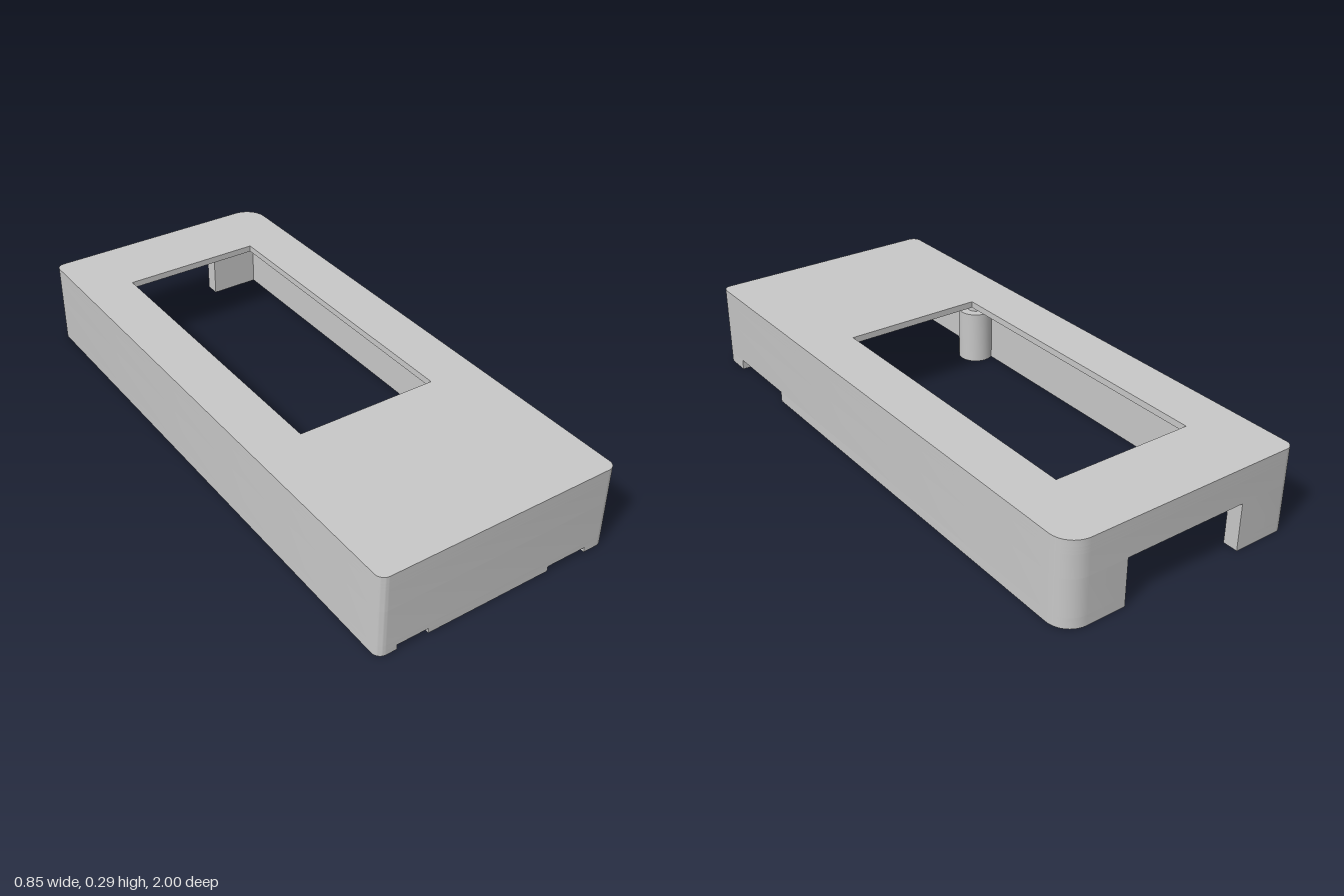
import * as THREE from 'three';
import { toCreasedNormals } from 'three/addons/utils/BufferGeometryUtils.js';

// Outline from [x, z, radius] corners; a radius rounds that corner.
function outline(corners, Type = THREE.Shape) {
  const n = corners.length, pts = [];
  corners.forEach(([x, z, r = 0], i) => {
    const p = new THREE.Vector2(x, -z);
    if (!r) { pts.push(p); return; }
    const dir = ([qx, qz]) => new THREE.Vector2(qx, -qz).sub(p).normalize();
    const a = dir(corners[(i + n - 1) % n]), b = dir(corners[(i + 1) % n]);
    for (let k = 0; k <= 10; k++) {
      const t = (k / 10) * Math.PI / 2;
      pts.push(p.clone()
        .addScaledVector(a, r * (1 - Math.sin(t)))
        .addScaledVector(b, r * (1 - Math.cos(t))));
    }
  });
  return new Type(pts);
}

// Openings run opposite to the outer outlines so their walls face inward.
const opening = (x, z0, z1) => [[-x, z0], [-x, z1], [x, z1], [x, z0]];

export function createModel() {
  const model = new THREE.Group();
  const grey = new THREE.MeshStandardMaterial({ color: 0xc8c8c8 });
  grey.name = 'grey plastic';

  // Horizontal slab between two heights, with an optional opening.
  function slab(name, corners, y0, y1, hole) {
    const shape = outline(corners);
    if (hole) shape.holes.push(outline(hole, THREE.Path));
    const geo = new THREE.ExtrudeGeometry(shape, { depth: y1 - y0, bevelEnabled: false });
    geo.rotateX(-Math.PI / 2).translate(0, y0, 0);
    const mesh = new THREE.Mesh(toCreasedNormals(geo, 0.6), grey);
    mesh.name = name;
    model.add(mesh);
  }

  const X = 0.427, Z = 1, R = 0.03, BIG = 0.08;   // outer size and corner radii
  const ix = 0.39, front = 0.963, back = -0.947;   // inner wall faces
  const portL = 0.21, portR = -0.23;               // sides of the back opening
  const outer = [[X, -Z, BIG], [X, Z, R], [-X, Z, R], [-X, -Z, R]];

  // Corner run shared by the wall layers
  const rightRun = [[-X, Z, R], [-X, -Z, R], [portR, -Z], [portR, back], [-ix, back], [-ix, front]];

  // Bottom rim, broken by two front notches and one side notch
  const y1 = 0.018, y2 = 0.037, y3 = 0.167, y4 = 0.247;
  slab('rimBackLeft', [
    [portL, back], [portL, -Z], [X, -Z, BIG], [X, 0.587], [ix, 0.587], [ix, back],
  ], 0, y2);
  slab('rimFrontLeft', [[X, 0.89], [X, Z, R], [0.345, Z], [0.345, front], [ix, front], [ix, 0.89]], 0, y1);
  slab('rimFrontMiddle', [[0.197, front], [0.197, Z], [-0.25, Z], [-0.25, front]], 0, y1);
  slab('rimRight', [[-0.36, front], [-0.36, Z], ...rightRun], 0, y1);
  slab('rimFront', [[ix, 0.89], [X, 0.89], [X, Z, R], ...rightRun, [ix, front]], y1, y2);

  // Walls with the back opening, then the closed band above it
  slab('walls', [
    [portL, back], [portL, -Z], [X, -Z, BIG], [X, Z, R], ...rightRun, [ix, front], [ix, back],
  ], y2, y3);
  slab('wallTop', outer, y3, y4, opening(ix, back, front));

  // Lid with a stepped recess around the window
  slab('lidOuterStep', outer, y4, 0.258, opening(0.3, -0.9, 0.53));
  slab('lidInnerStep', outer, 0.258, 0.27, opening(0.28, -0.87, 0.49));
  slab('lidWindowFrame', outer, 0.27, 0.293, opening(0.25, -0.735, 0.36));

  // Counterbored screw posts, joined to the lid by a narrow neck
  const profile = [
    [0, 0.16], [0.035, 0.16], [0.035, 0.03], [0.047, 0.03], [0.047, 0.002],
    [0.063, 0.002], [0.063, 0.195], [0.03, 0.195], [0.03, 0.25],
  ].map(([r, y]) => new THREE.Vector2(r, y));
  const postGeo = toCreasedNormals(new THREE.LatheGeometry(profile, 32), 0.6);
  [[0.353, 0.48], [-0.353, 0.48], [0, 0.92]].forEach(([x, z]) => {
    const post = new THREE.Mesh(postGeo, grey);
    post.name = 'screwPost';
    post.position.set(x, 0, z);
    model.add(post);
  });

  return model;
}
